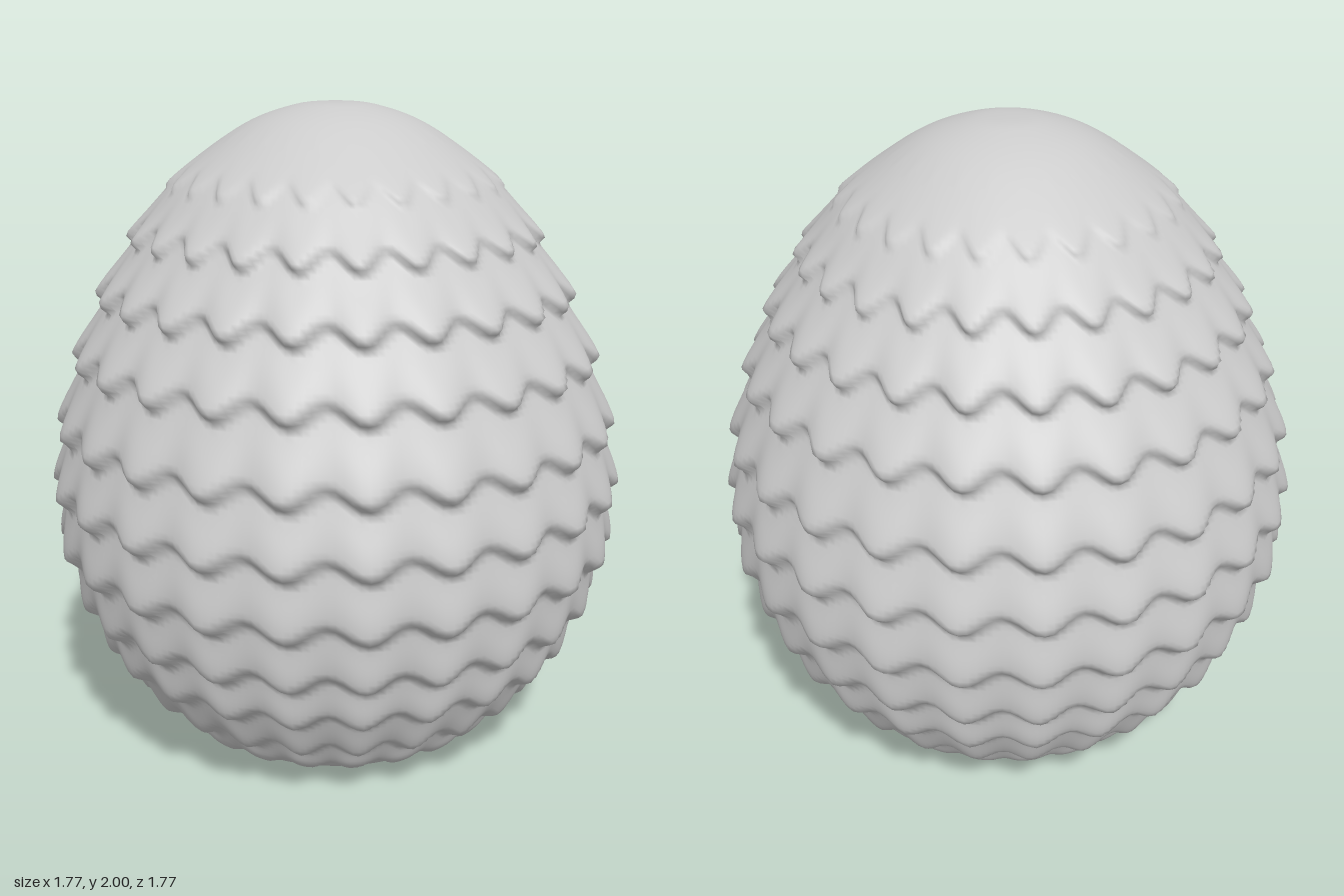
import * as THREE from 'three';
import { mergeVertices } from 'three/addons/utils/BufferGeometryUtils.js';

const COLUMNS = 24;
// Heights of the lower lips of the scale rows
const LIPS = [-0.05, 0.06, 0.18, 0.33, 0.48, 0.65, 0.84, 1.03, 1.24, 1.43, 1.61, 1.77, 1.9, 2.1];
// Egg outline: radius, height
const OUTLINE = [
  [0.4, 0], [0.5, 0.07], [0.61, 0.19], [0.72, 0.34], [0.79, 0.49], [0.84, 0.66], [0.855, 0.83],
  [0.835, 1.03], [0.775, 1.25], [0.69, 1.45], [0.59, 1.63], [0.47, 1.79], [0.28, 1.93], [0.12, 1.99], [0, 2],
];

// Position within a row: 0 at its lower lip, 1 at the lip above
function rowFraction(y) {
  let i = 0;
  while (i < LIPS.length - 2 && y >= LIPS[i + 1]) i++;
  return (y - LIPS[i]) / (LIPS[i + 1] - LIPS[i]);
}

// Outward relief of the overlapping scales
function relief(angle, y) {
  const wave = -Math.cos(COLUMNS * angle);
  const t = rowFraction(y + 0.024 * wave); // scalloped lips, lowest mid-scale
  const lip = THREE.MathUtils.smoothstep(t, 0, 0.2) * (1 - THREE.MathUtils.smoothstep(t, 0.12, 1.15));
  const fade = THREE.MathUtils.smoothstep(y, 0, 0.12) * (1 - THREE.MathUtils.smoothstep(y, 1.5, 1.95));
  return fade * (0.034 * lip + 0.009 * wave * (0.5 + lip) - 0.006);
}

export function createModel() {
  const model = new THREE.Group();
  const material = new THREE.MeshStandardMaterial({ color: 0xcccccc, roughness: 0.8 });

  // Scaly shell
  const curve = new THREE.SplineCurve(OUTLINE.map(([r, y]) => new THREE.Vector2(r, y)));
  const profile = curve.getSpacedPoints(150);
  profile[150].set(0, 2);
  let geometry = new THREE.LatheGeometry(profile, 240);
  const p = geometry.attributes.position;
  for (let i = 0; i < p.count; i++) {
    const x = p.getX(i), y = p.getY(i), z = p.getZ(i);
    const r = Math.hypot(x, z);
    if (r < 1e-4) continue;
    const k = 1 + relief(Math.atan2(x, z), y) / r;
    p.setXYZ(i, x * k, y, z * k);
  }
  // Weld the lathe seam for smooth shading all round
  geometry.deleteAttribute('uv');
  geometry.deleteAttribute('normal');
  geometry = mergeVertices(geometry, 1e-5);
  geometry.computeVertexNormals();
  const shell = new THREE.Mesh(geometry, material);
  shell.name = 'scalyShell';
  model.add(shell);

  // Flat underside
  const base = new THREE.Mesh(new THREE.CircleGeometry(0.4, 240).rotateX(Math.PI / 2), material);
  base.name = 'flatBase';
  model.add(base);
  return model;
}
